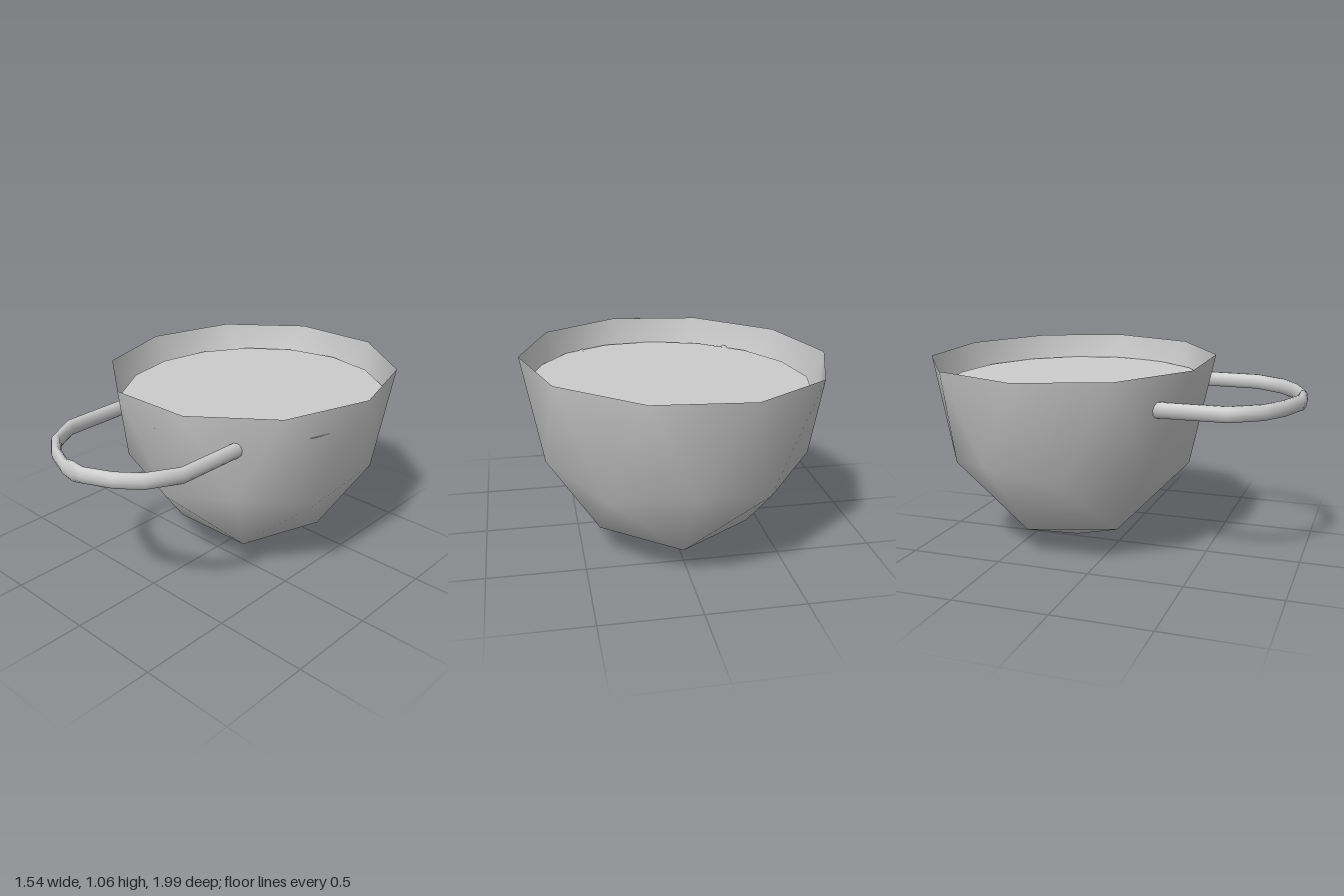
import * as THREE from 'three';

const grey = new THREE.MeshStandardMaterial({ color: 0xcccccc, side: THREE.DoubleSide });
grey.name = 'plain grey';

function smoothMesh(name, positions, indices) {
  const g = new THREE.BufferGeometry();
  g.setAttribute('position', new THREE.Float32BufferAttribute(positions, 3));
  g.setIndex(indices);
  g.computeVertexNormals();
  const mesh = new THREE.Mesh(g, grey);
  mesh.name = name;
  return mesh;
}

// Lower half of a once-subdivided icosahedron, stretched downwards; rim at y = 0
function makeBowl(radius, depth) {
  const pos = [0, -depth, 0];
  const ring = (count, start, polar) => {
    for (let i = 0; i < count; i++) {
      const a = THREE.MathUtils.degToRad(start + (i * 360) / count);
      const p = THREE.MathUtils.degToRad(polar(i));
      pos.push(radius * Math.sin(p) * Math.sin(a), -depth * Math.cos(p), -radius * Math.sin(p) * Math.cos(a));
    }
  };
  ring(5, 0, () => 31.72);
  ring(10, 0, (i) => (i % 2 ? 58.28 : 63.43));
  ring(10, 18, () => 90);
  const low = (k) => 1 + (k % 5);
  const mid = (j) => 6 + (j % 10);
  const rim = (j) => 16 + ((j + 10) % 10);
  const idx = [];
  for (let k = 0; k < 5; k++) {
    idx.push(0, low(k), low(k + 1));
    idx.push(low(k), mid(2 * k), mid(2 * k + 1));
    idx.push(low(k), mid(2 * k + 1), low(k + 1));
    idx.push(low(k + 1), mid(2 * k + 1), mid(2 * k + 2));
  }
  for (let j = 0; j < 10; j++) {
    idx.push(mid(j), rim(j), mid(j + 1));
    idx.push(mid(j), rim(j - 1), rim(j));
  }
  return smoothMesh('bowl', pos, idx);
}

// Loop handle: an oval section swept along a flat path, thicker at the middle
function makeHandle() {
  const half = [[0.41, 0.28], [0.405, 0.67], [0.315, 0.825], [0.205, 0.905], [0.062, 0.963]];
  const path = [
    ...half.map(([x, z]) => [-x, z]),
    [0, 0.967],
    ...half.slice().reverse(),
  ].map(([x, z]) => new THREE.Vector2(x, z));
  const sides = 10;
  const pos = [];
  const idx = [];
  path.forEach((p, i) => {
    const a = path[Math.max(i - 1, 0)];
    const b = path[Math.min(i + 1, path.length - 1)];
    const t = b.clone().sub(a).normalize();
    const tall = i === 5 ? 0.053 : 0.041;
    for (let s = 0; s < sides; s++) {
      const q = (s / sides) * Math.PI * 2;
      const out = Math.cos(q) * 0.025;
      pos.push(p.x - t.y * out, Math.sin(q) * tall, p.y + t.x * out);
      if (i > 0) {
        const n = (s + 1) % sides;
        const c = i * sides;
        const d = c - sides;
        idx.push(d + s, c + s, d + n, c + s, c + n, d + n);
      }
    }
  });
  return smoothMesh('handle', pos, idx);
}

export function createModel() {
  const model = new THREE.Group();
  model.name = 'cup';

  // Bowl and its filling share a slight tilt
  const body = new THREE.Group();
  body.name = 'cupBody';
  body.position.set(0, 1.034, -0.262);
  body.rotation.set(0, -0.02, 0.029);
  body.add(makeBowl(0.77, 1.034));

  // Flat surface of the liquid
  const liquid = new THREE.Mesh(new THREE.CircleGeometry(0.708, 16).rotateX(-Math.PI / 2), grey);
  liquid.name = 'liquidSurface';
  liquid.position.set(0.016, -0.135, 0.007);
  body.add(liquid);
  model.add(body);

  const handle = makeHandle();
  handle.position.set(0.012, 0.862, 0);
  handle.rotation.z = 0.027;
  model.add(handle);

  return model;
}
